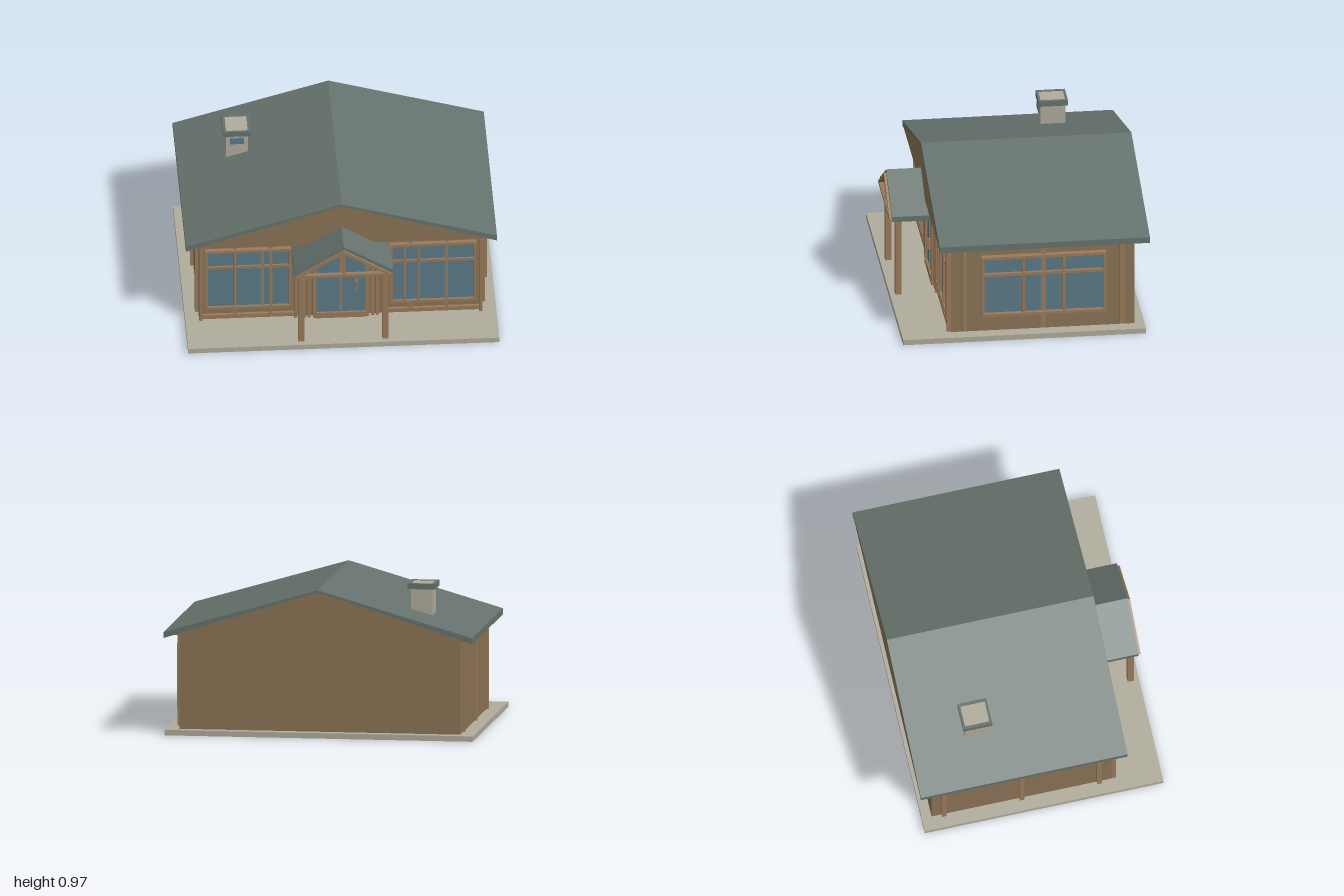
import * as THREE from 'three';

const mat = (color) => new THREE.MeshStandardMaterial({ color });
const WALL = mat(0x8b7355), TRIM = mat(0x9a7b5c), ROOF = mat(0x66726d);
const STONE = mat(0xb0ab9c), GLASS = mat(0x5a7a86);

// Box given by its min and max on each axis
function box(parent, name, material, x0, x1, y0, y1, z0, z1) {
  const mesh = new THREE.Mesh(new THREE.BoxGeometry(x1 - x0, y1 - y0, z1 - z0), material);
  mesh.position.set((x0 + x1) / 2, (y0 + y1) / 2, (z0 + z1) / 2);
  mesh.name = name;
  parent.add(mesh);
  return mesh;
}

// Outline in x/y extruded from z0 to z1
function prism(parent, name, material, points, z0, z1, hole) {
  const shape = new THREE.Shape(points.map(([x, y]) => new THREE.Vector2(x, y)));
  if (hole) shape.holes.push(new THREE.Path(hole.map(([x, y]) => new THREE.Vector2(x, y))));
  const mesh = new THREE.Mesh(
    new THREE.ExtrudeGeometry(shape, { depth: z1 - z0, bevelEnabled: false }), material);
  mesh.position.z = z0;
  mesh.name = name;
  parent.add(mesh);
}

// Window facing +z with its back on z = 0: glass, frame, and bars
function makeWindow(name, x0, x1, y0, y1, barsX, barY, depth, glassDepth) {
  const g = new THREE.Group(), f = 0.018, b = 0.009;
  g.name = name;
  box(g, 'glass', GLASS, x0, x1, y0, y1, 0, glassDepth);
  for (const x of [x0 - f, x1]) box(g, 'frameSide', TRIM, x, x + f, y0 - f, y1 + f, 0, depth);
  for (const y of [y0 - f, y1]) box(g, 'frameRail', TRIM, x0, x1, y, y + f, 0, depth - 0.003);
  for (const x of barsX) box(g, 'verticalBar', TRIM, x - b, x + b, y0, y1, 0, depth - 0.005);
  box(g, 'crossBar', TRIM, x0, x1, barY - b, barY + b, 0, depth - 0.008);
  return g;
}

function makeChimney() {
  const g = new THREE.Group();
  g.name = 'chimney';
  box(g, 'chimneyStack', STONE, -0.69, -0.55, 0.7, 0.968, -0.44, -0.28);
  // Cap ring around the stack
  box(g, 'capLeft', ROOF, -0.71, -0.69, 0.935, 0.972, -0.455, -0.265);
  box(g, 'capRight', ROOF, -0.55, -0.53, 0.935, 0.972, -0.455, -0.265);
  box(g, 'capBack', ROOF, -0.69, -0.55, 0.935, 0.972, -0.455, -0.44);
  box(g, 'capFront', ROOF, -0.69, -0.55, 0.935, 0.972, -0.28, -0.265);
  box(g, 'vent', GLASS, -0.665, -0.575, 0.873, 0.915, -0.28, -0.268);
  return g;
}

function makePorch() {
  const g = new THREE.Group();
  g.name = 'porch';
  prism(g, 'porchRoof', ROOF, [[-0.318, 0.56], [0, 0.755], [0.318, 0.56],
    [0.318, 0.595], [0, 0.79], [-0.318, 0.595]], 0.475, 0.785);
  // Triangular truss with king post
  prism(g, 'truss', TRIM, [[-0.308, 0.563], [0.308, 0.563], [0.308, 0.574], [0, 0.768], [-0.308, 0.574]],
    0.772, 0.8, [[-0.262, 0.582], [0, 0.742], [0.262, 0.582]]);
  box(g, 'kingPost', TRIM, -0.011, 0.011, 0.578, 0.75, 0.774, 0.796);
  for (const s of [-1, 1]) {
    box(g, 'post', TRIM, s * 0.27 - 0.019, s * 0.27 + 0.019, 0.035, 0.585, 0.72, 0.76);
    box(g, 'sideBeam', TRIM, s * 0.27 - 0.015, s * 0.27 + 0.015, 0.563, 0.583, 0.475, 0.775);
  }
  return g;
}

function makeDoor() {
  const g = new THREE.Group();
  g.name = 'door';
  box(g, 'doorGlass', GLASS, -0.16, 0.16, 0.075, 0.53, 0.475, 0.5);
  for (const s of [-1, 1]) {
    box(g, 'doorJamb', TRIM, s * 0.169 - 0.011, s * 0.169 + 0.011, 0.04, 0.555, 0.475, 0.515);
  }
  box(g, 'doorHead', TRIM, -0.18, 0.18, 0.53, 0.56, 0.475, 0.513);
  box(g, 'threshold', TRIM, -0.16, 0.16, 0.036, 0.078, 0.475, 0.513);
  box(g, 'doorMullion', TRIM, -0.008, 0.008, 0.075, 0.53, 0.475, 0.508);
  box(g, 'doorHandle', TRIM, 0.092, 0.106, 0.26, 0.333, 0.5, 0.538);
  return g;
}

export function createModel() {
  const house = new THREE.Group();
  house.name = 'house';

  box(house, 'slab', STONE, -1, 1, 0, 0.035, -0.775, 0.795);
  box(house, 'walls', WALL, -0.91, 0.91, 0.035, 0.66, -0.71, 0.475);

  // Main roof, thicker towards the eaves, with a flat soffit between the gables
  prism(house, 'roof', ROOF, [[-1, 0.635], [-0.935, 0.655], [0.935, 0.655], [1, 0.635],
    [1, 0.675], [0, 0.965], [-1, 0.675]], -0.797, 0.557);
  for (const [z0, z1] of [[-0.8, -0.796], [0.556, 0.56]]) {
    prism(house, 'gable', WALL, [[-0.935, 0.655], [0.935, 0.655], [0, 0.951]], z0, z1);
    prism(house, 'roofEdge', ROOF, [[-1, 0.635], [0, 0.951], [1, 0.635],
      [1, 0.675], [0, 0.965], [-1, 0.675]], z0, z1);
  }

  // Side battens
  for (const s of [-1, 1]) {
    for (const z of [0.39, -0.12, -0.63]) {
      box(house, 'sideBatten', TRIM, s * 0.92 - 0.012, s * 0.92 + 0.012, 0.045, 0.645, z - 0.015, z + 0.015);
    }
    // Front battens and rails
    for (const x of [0.9, 0.29, 0.235, 0.205]) {
      box(house, 'frontBatten', TRIM, s * x - 0.01, s * x + 0.01, 0.04, 0.635, 0.475, 0.503);
    }
    const [a, b] = s < 0 ? [-0.89, -0.3] : [0.3, 0.89];
    box(house, 'bottomRail', TRIM, a, b, 0.05, 0.078, 0.475, 0.495);
    // Short studs above and below the window
    for (const x of [0.68, 0.45]) {
      box(house, 'frontStud', TRIM, s * x - 0.01, s * x + 0.01, 0.078, 0.127, 0.475, 0.493);
      box(house, 'frontStud', TRIM, s * x - 0.01, s * x + 0.01, 0.588, 0.606, 0.475, 0.493);
    }
  }
  box(house, 'topRail', TRIM, -0.9, 0.9, 0.606, 0.634, 0.475, 0.5);

  // Front windows
  const left = makeWindow('frontWindowLeft', 0.335, 0.855, 0.145, 0.57, [0.41, 0.5, 0.68], 0.452, 0.032, 0.012);
  const right = makeWindow('frontWindowRight', -0.855, -0.335, 0.145, 0.57, [-0.68, -0.505, -0.45], 0.452, 0.032, 0.012);
  left.position.z = right.position.z = 0.475;

  // Side window on the left wall; local x runs along -z
  const side = makeWindow('sideWindow', -0.265, 0.505, 0.165, 0.545, [-0.01, 0.25], 0.435, 0.044, 0.012);
  side.rotation.y = Math.PI / 2;
  side.position.x = 0.91;

  house.add(left, right, side, makeDoor(), makePorch(), makeChimney());
  return house;
}
